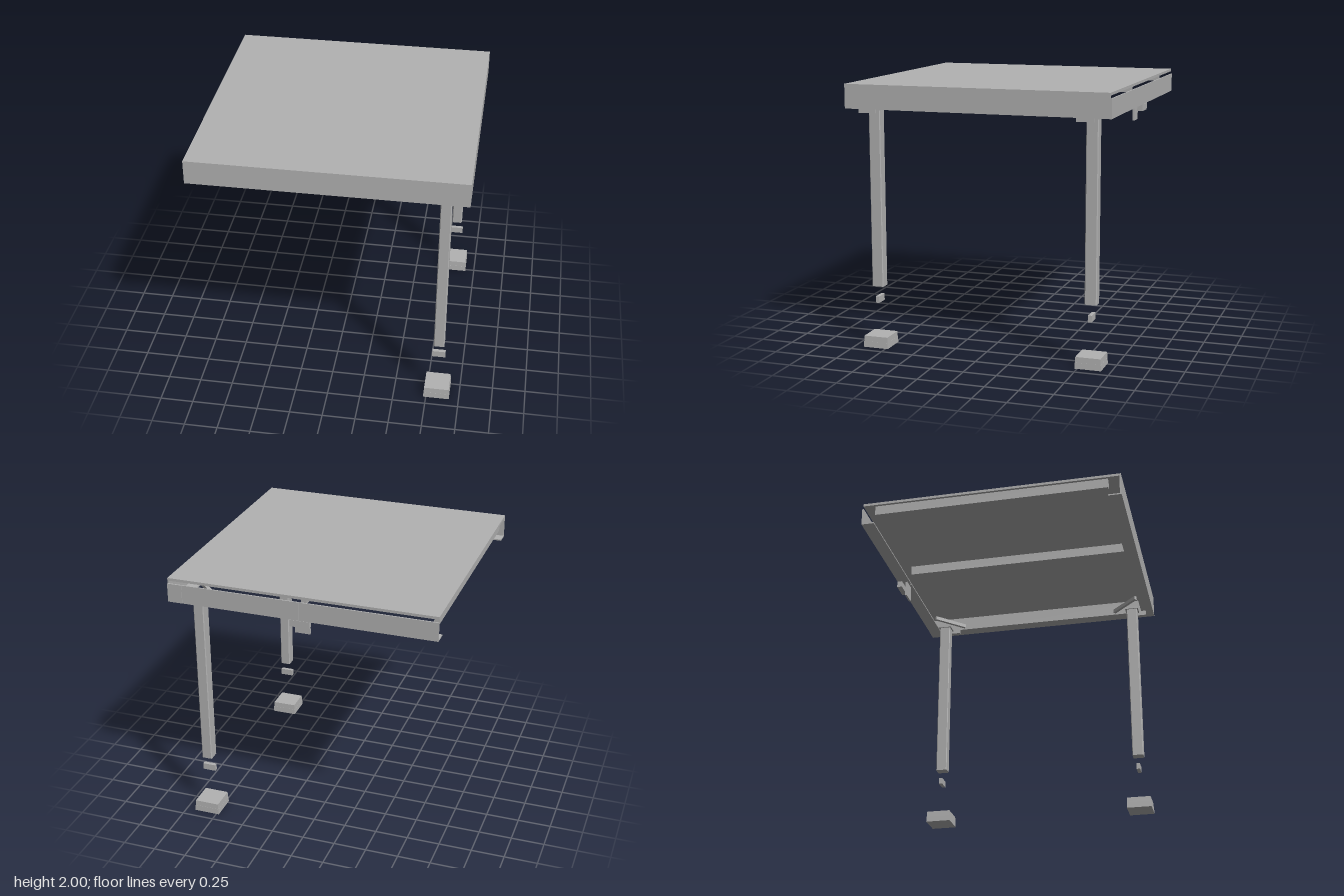
import * as THREE from 'three';

export function createModel() {
  const model = new THREE.Group();
  model.name = 'canopy';
  const grey = new THREE.MeshStandardMaterial({ color: 0xb2b2b2 });
  grey.name = 'grey';

  // Box given by its extents on each axis
  function box(name, x0, x1, y0, y1, z0, z1, parent = model) {
    const m = new THREE.Mesh(new THREE.BoxGeometry(x1 - x0, y1 - y0, z1 - z0), grey);
    m.position.set((x0 + x1) / 2, (y0 + y1) / 2, (z0 + z1) / 2);
    m.name = name;
    parent.add(m);
    return m;
  }

  // Roof sheet, front and side fascias with inward bottom flanges
  box('roofSheet', -1, 1, 1.98, 2, -0.99, 1);
  box('frontFascia', -1, 1, 1.82, 1.98, 0.988, 1);
  box('frontFlange', -1, 0.988, 1.82, 1.83, 0.9, 0.988);
  box('sideFascia', 0.988, 1, 1.82, 1.98, -0.99, 0.988);
  box('sideFlange', 0.9, 0.988, 1.82, 1.83, -0.9, 0.9);

  // Back gutter in two lengths, open under the roof edge, with a corner cap
  for (const [x0, x1] of [[-1, -0.002], [0.002, 0.888]]) {
    box('gutterWall', x0, x1, 1.83, 1.96, -0.998, -0.988);
    box('gutterFloor', x0, x1, 1.82, 1.83, -0.998, -0.9);
  }
  box('gutterCorner', 0.89, 1, 1.82, 1.96, -1, -0.988);
  box('gutterCornerFloor', 0.888, 1, 1.82, 1.83, -0.988, -0.9);

  // Joists under the roof sheet
  for (const x of [-0.96, 0]) box('joist', x - 0.02, x + 0.02, 1.905, 1.98, -0.9, 0.9);

  // Gutter joint and hanging plate at the middle of the back
  box('gutterJoint', -0.075, 0.07, 1.77, 1.82, -1, -0.96);
  box('outletPlate', -0.057, 0.055, 1.695, 1.82, -0.935, -0.92);

  // Square profile with small bevelled corners for the posts
  const w = 0.04, d = 0.045, c = 0.006;
  const section = new THREE.Shape([
    [-w + c, -d], [w - c, -d], [w, -d + c], [w, d - c],
    [w - c, d], [-w + c, d], [-w, d - c], [-w, -d + c],
  ].map(([x, y]) => new THREE.Vector2(x, y)));
  const postGeometry = new THREE.ExtrudeGeometry(section, { depth: 1.355, bevelEnabled: false });
  postGeometry.rotateX(-Math.PI / 2);

  // Tapered slab for the footings
  function slab(name, bottom, top, y, height, parent) {
    const g = new THREE.CylinderGeometry(top * Math.SQRT2, bottom * Math.SQRT2, height, 4, 1)
      .rotateY(Math.PI / 4).toNonIndexed();
    g.computeVertexNormals();
    const m = new THREE.Mesh(g, grey);
    m.position.y = y + height / 2;
    m.name = name;
    parent.add(m);
  }

  for (const side of [1, -1]) {
    const leg = new THREE.Group();
    leg.name = side > 0 ? 'frontLeg' : 'backLeg';
    leg.position.set(0.828, 0, side * 0.829);
    model.add(leg);

    const post = new THREE.Mesh(postGeometry, grey);
    post.name = 'post';
    post.position.y = 0.465;
    leg.add(post);

    // Head plate, side clip, spacer and footing
    box('headPlate', -0.05, 0.05, 1.8, 1.82, -0.055, 0.055, leg);
    box('headClip', 0.052, 0.075, 1.78, 1.82, -0.023, 0.11, leg);
    box('spacer', -0.05, 0.05, 0.34, 0.39, -0.014, 0.014, leg);
    slab('footingBase', 0.099, 0.097, 0, 0.045, leg);
    slab('footingTop', 0.096, 0.094, 0.045, 0.042, leg);

    // Diagonal brace across the roof corner
    const brace = box('cornerBrace', -0.15, 0.15, 1.82, 1.85, -0.012, 0.012);
    brace.position.set(0.775, 1.84, side * 0.775);
    brace.rotation.y = side * Math.PI / 4;
  }

  return model;
}
